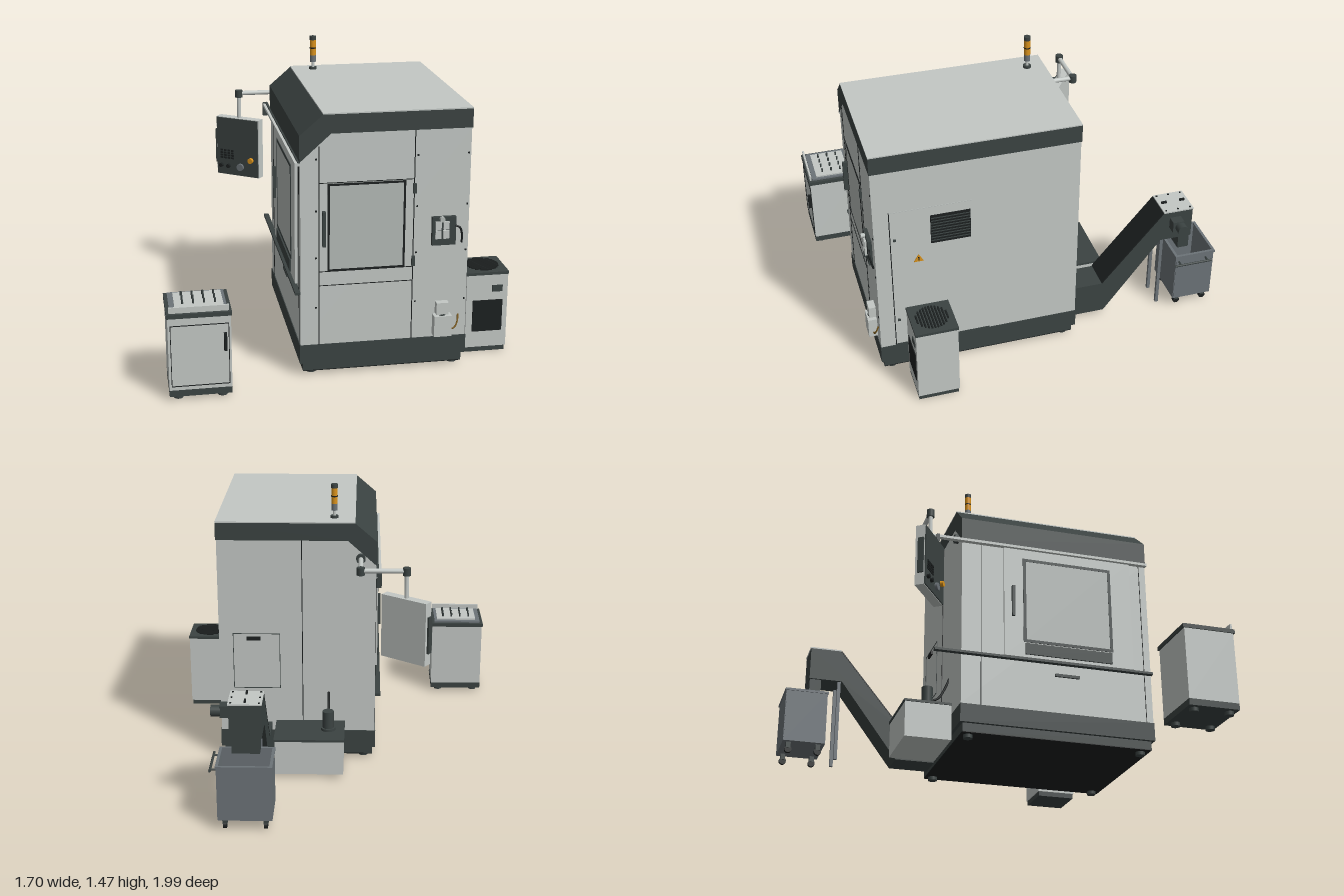
import * as THREE from 'three';

export function createModel() {
  const root = new THREE.Group();
  root.name = 'machiningCentre';
  const mat = (name, color) => {
    const m = new THREE.MeshStandardMaterial({ color });
    m.name = name;
    return m;
  };
  const light = mat('light panel grey', 0xc3c8c5), pane = mat('window grey', 0xb4bab7);
  const dark = mat('dark green grey', 0x3b4342), black = mat('near black', 0x1c2020);
  const steel = mat('bin steel', 0x6c7378), amber = mat('amber', 0xd9921c);
  const brass = mat('brass', 0x7d5c1e);

  const group = (name, parent = root) => {
    const g = new THREE.Group();
    g.name = name;
    parent.add(g);
    return g;
  };
  const add = (p, name, geo, m) => {
    const mesh = new THREE.Mesh(geo, m);
    mesh.name = name;
    p.add(mesh);
    return mesh;
  };
  // box given by its extents
  const box = (p, name, m, x0, x1, y0, y1, z0, z1) => {
    const mesh = add(p, name, new THREE.BoxGeometry(x1 - x0, y1 - y0, z1 - z0), m);
    mesh.position.set((x0 + x1) / 2, (y0 + y1) / 2, (z0 + z1) / 2);
    return mesh;
  };
  // round bar between two points
  const rod = (p, name, m, a, b, r, sides = 20) => {
    const A = new THREE.Vector3(...a), B = new THREE.Vector3(...b), d = B.clone().sub(A);
    const mesh = add(p, name, new THREE.CylinderGeometry(r, r, d.length(), sides), m);
    mesh.position.copy(A).add(B).multiplyScalar(0.5);
    mesh.quaternion.setFromUnitVectors(new THREE.Vector3(0, 1, 0), d.normalize());
    return mesh;
  };
  const hose = (p, name, m, pts, r) => {
    const curve = new THREE.CatmullRomCurve3(pts.map(q => new THREE.Vector3(...q)));
    return add(p, name, new THREE.TubeGeometry(curve, 24, r, 8), m);
  };
  const extrude = (p, name, m, pts, depth) => {
    const shape = new THREE.Shape(pts.map(q => new THREE.Vector2(...q)));
    return add(p, name, new THREE.ExtrudeGeometry(shape, { depth, bevelEnabled: false }), m);
  };
  // local sheet lying on a wall: x, y in the wall, z outwards
  const wall = (name, x, z, turn) => {
    const g = group(name);
    g.position.set(x, 0, z);
    g.rotation.y = turn;
    return g;
  };
  const seam = (p, x0, x1, y0, y1, w = 0.004, m = black) => {
    const h = w / 2;
    box(p, 'seam', m, x0 - h, x1 + h, y0 - h, y1 + h, -0.002, 0.003);
  };
  const outline = (p, x0, x1, y0, y1, w, m) => {
    for (const x of [x0, x1]) seam(p, x, x, y0, y1, w, m);
    for (const y of [y0, y1]) seam(p, x0, x1, y, y, w, m);
  };

  // enclosure
  const body = group('enclosure');
  extrude(body, 'cabin', light, [[-0.213, 0.16], [0.593, 0.16], [0.593, 1.2], [-0.07, 1.2], [-0.213, 1.07]], 1.02).position.z = -0.203;
  extrude(body, 'roofBand', dark, [[-0.217, 1.068], [-0.07, 1.2], [0.597, 1.2], [0.597, 1.29], [-0.107, 1.29], [-0.217, 1.195]], 1.026).position.z = -0.206;
  box(body, 'roof', light, -0.107, 0.597, 1.29, 1.296, -0.206, 0.82);
  box(body, 'base', dark, -0.217, 0.597, 0.065, 0.16, -0.206, 0.82);
  box(body, 'plinth', dark, -0.2, 0.58, 0.022, 0.065, -0.19, 0.805);
  box(body, 'underside', black, -0.2, 0.58, 0.018, 0.022, -0.19, 0.805);
  for (const x of [-0.155, 0.545]) for (const z of [-0.15, 0.76]) rod(body, 'foot', dark, [x, 0, z], [x, 0.02, z], 0.024);

  // front wall
  const front = wall('frontWall', 0, 0.817, 0);
  seam(front, -0.125, -0.125, 0.16, 1.14);
  seam(front, 0.325, 0.325, 0.16, 1.2);
  for (const y of [0.46, 0.53, 0.965]) seam(front, -0.125, 0.325, y, y, 0.003);
  box(front, 'frontWindow', pane, -0.08, 0.28, 0.535, 0.955, -0.002, 0.002);
  outline(front, -0.08, 0.28, 0.535, 0.955, 0.01);
  box(front, 'doorHandle', dark, -0.112, -0.096, 0.66, 0.83, 0, 0.025);
  for (const y of [0.56, 0.92]) box(front, 'hinge', dark, 0.318, 0.334, y - 0.024, y + 0.024, 0, 0.012);
  for (const y of [0.35, 0.6, 0.83, 1.08]) for (const x of [-0.14, 0.34, 0.582])
    box(front, 'screw', black, x - 0.004, x + 0.004, y - 0.004, y + 0.004, 0, 0.004);

  // hand control on the front wall
  box(front, 'handControl', dark, 0.412, 0.527, 0.635, 0.775, 0, 0.02);
  for (const x of [0.44, 0.478]) for (const y of [0.69, 0.735])
    box(front, 'controlKey', light, x - 0.014, x + 0.014, y - 0.02, y + 0.02, 0.02, 0.03);
  rod(front, 'controlKnob', pane, [0.457, 0.768, 0.02], [0.457, 0.768, 0.04], 0.012);
  hose(front, 'controlCable', black, [[0.52, 0.73, 0.015], [0.545, 0.72, 0.02], [0.558, 0.68, 0.015], [0.56, 0.64, 0.005]], 0.005);

  // lubricator
  box(front, 'lubricatorTank', light, 0.428, 0.515, 0.175, 0.28, 0, 0.045);
  box(front, 'lubricatorHead', light, 0.44, 0.5, 0.285, 0.345, 0, 0.035);
  rod(front, 'lubricatorNeck', dark, [0.47, 0.28, 0.02], [0.47, 0.287, 0.02], 0.018);
  hose(front, 'oilPipe', brass, [[0.515, 0.2, 0.02], [0.535, 0.21, 0.02], [0.55, 0.235, 0.012], [0.555, 0.27, 0]], 0.004);

  // +x wall, local x = -z
  const side = wall('ventWall', 0.593, 0, Math.PI / 2);
  seam(side, -0.74, -0.74, 0.165, 0.97);
  seam(side, -0.74, -0.34, 0.97, 0.97, 0.002, pane);
  box(side, 'vent', black, -0.542, -0.345, 0.758, 0.92, -0.002, 0.004);
  for (let i = 1; i < 10; i++) box(side, 'ventSlat', dark, -0.54, -0.347, 0.756 + i * 0.0162, 0.76 + i * 0.0162, 0.004, 0.007);
  extrude(side, 'warningSign', amber, [[-0.63, 0.663], [-0.582, 0.663], [-0.606, 0.704]], 0.005);
  box(side, 'warningMark', black, -0.609, -0.603, 0.671, 0.69, 0.005, 0.007);
  for (const y of [0.32, 0.81]) box(side, 'latch', dark, -0.725, -0.712, y - 0.006, y + 0.006, 0, 0.006);
  seam(side, -0.74, -0.26, 0.163, 0.163, 0.008, dark);

  // back wall, local x = -x
  const back = wall('backWall', 0, -0.203, Math.PI);
  seam(back, -0.163, -0.163, 0.16, 1.2);
  outline(back, -0.52, -0.28, 0.4, 0.7, 0.003, dark);
  box(back, 'hatchHandle', black, -0.45, -0.38, 0.665, 0.685, 0, 0.01);

  // -x wall with sliding door, local x = z
  const slide = wall('slidingDoorWall', -0.213, 0, -Math.PI / 2);
  box(slide, 'slidingDoor', light, 0.02, 0.72, 0.44, 1.05, 0, 0.012);
  const win = group('slidingWindow', slide);
  win.position.z = 0.012;
  box(win, 'windowPane', pane, 0.13, 0.6, 0.53, 0.99, 0, 0.002);
  outline(win, 0.13, 0.6, 0.53, 0.99, 0.016, dark);
  box(win, 'windowSill', dark, 0.13, 0.6, 0.455, 0.515, 0, 0.008);
  box(win, 'slideHandle', dark, 0.06, 0.075, 0.66, 0.83, 0, 0.015);
  box(slide, 'topRail', light, -0.345, 0.82, 1.052, 1.066, 0, 0.025);
  box(slide, 'topRailTrim', dark, -0.345, 0.82, 1.066, 1.072, 0, 0.012);
  box(slide, 'railBracket', dark, -0.345, -0.33, 1.0, 1.07, 0, 0.026);
  box(slide, 'bottomRail', dark, -0.345, 0.82, 0.42, 0.432, 0, 0.026);
  box(slide, 'lowerGrip', dark, 0.29, 0.42, 0.355, 0.37, 0, 0.01);
  for (const x of [-0.1, 0.78]) seam(slide, x, x, 0.16, 1.05, 0.003);

  // signal tower
  const tower = group('signalTower');
  for (const [y0, y1, r, m] of [[1.296, 1.308, 0.02, dark], [1.308, 1.335, 0.008, light], [1.335, 1.37, 0.016, steel],
    [1.37, 1.405, 0.016, amber], [1.405, 1.411, 0.017, black], [1.411, 1.45, 0.016, amber], [1.45, 1.47, 0.017, dark]])
    rod(tower, 'towerSegment', m, [0, y0, -0.115], [0, y1, -0.115], r, 24);

  // swing arm and control panel
  const arm = group('swingArm');
  rod(arm, 'armMount', dark, [-0.135, 1.11, -0.2], [-0.135, 1.11, -0.225], 0.024);
  rod(arm, 'armInner', light, [-0.135, 1.11, -0.22], [-0.135, 1.11, -0.41], 0.012);
  rod(arm, 'armOuter', light, [-0.135, 1.11, -0.41], [-0.36, 1.11, -0.41], 0.012);
  for (const x of [-0.135, -0.36]) rod(arm, 'armJoint', dark, [x, 1.088, -0.41], [x, 1.127, -0.41], 0.02);
  rod(arm, 'dropPole', light, [-0.36, 1.09, -0.41], [-0.36, 0.97, -0.41], 0.011);
  const panel = group('controlPanel');
  panel.position.set(-0.36, 0.81, -0.41);
  panel.rotation.y = -0.61;
  box(panel, 'panelCase', light, -0.13, 0.13, -0.163, 0.163, -0.025, 0.023);
  box(panel, 'panelFace', dark, -0.126, 0.126, -0.16, 0.16, 0.023, 0.029);
  box(panel, 'panelGrip', dark, -0.14, -0.13, -0.1, 0.09, -0.01, 0.02);
  for (let i = 0; i < 4; i++) for (let j = 0; j < 4; j++)
    box(panel, 'panelKey', black, -0.105 + i * 0.022, -0.089 + i * 0.022, -0.07 + j * 0.014, -0.06 + j * 0.014, 0.029, 0.033);
  rod(panel, 'emergencyStop', amber, [0.085, -0.065, 0.029], [0.085, -0.065, 0.045], 0.015);
  rod(panel, 'panelDial', steel, [0.02, -0.11, 0.029], [0.02, -0.11, 0.042], 0.02);
  for (const x of [-0.1, -0.055]) rod(panel, 'panelKnob', black, [x, -0.11, 0.029], [x, -0.11, 0.043], 0.011);

  // coolant tank with pump
  const tank = group('coolantTank');
  box(tank, 'tankBody', light, -0.052, 0.298, 0.022, 0.205, -0.445, -0.206);
  box(tank, 'tankLid', dark, -0.057, 0.303, 0.205, 0.217, -0.45, -0.206);
  rod(tank, 'pumpFlange', dark, [0.028, 0.217, -0.315], [0.028, 0.23, -0.315], 0.038);
  rod(tank, 'pump', dark, [0.028, 0.23, -0.315], [0.028, 0.32, -0.315], 0.029);
  hose(tank, 'pumpHose', black, [[0.028, 0.25, -0.29], [0.028, 0.27, -0.255], [0.028, 0.32, -0.225], [0.028, 0.38, -0.2]], 0.006);

  // chip conveyor, profile points are (-z, y)
  const conv = group('chipConveyor');
  const trough = extrude(conv, 'trough', dark, [[0.2, 0.025], [0.405, 0.025], [0.705, 0.425], [0.875, 0.425],
    [0.875, 0.595], [0.715, 0.595], [0.39, 0.205], [0.2, 0.205]], 0.155);
  trough.rotation.y = Math.PI / 2;
  trough.position.x = 0.325;
  const belt = add(conv, 'slopeCover', new THREE.BoxGeometry(0.157, 0.006, 0.505), black);
  belt.position.set(0.4025, 0.402, -0.5525);
  belt.rotation.x = Math.atan2(0.39, 0.325);
  box(conv, 'headCover', light, 0.322, 0.484, 0.594, 0.601, -0.878, -0.715);
  for (const x of [0.335, 0.47]) for (const z of [-0.73, -0.795, -0.862]) rod(conv, 'coverBolt', black, [x, 0.6, z], [x, 0.605, z], 0.005, 8);
  for (const z of [-0.745, -0.845]) box(conv, 'coverLug', black, 0.398, 0.407, 0.6, 0.612, z - 0.014, z + 0.014);
  box(conv, 'chute', dark, 0.335, 0.47, 0.345, 0.425, -0.872, -0.812);
  box(conv, 'gearbox', dark, 0.48, 0.53, 0.5, 0.56, -0.81, -0.75);
  rod(conv, 'motor', dark, [0.525, 0.53, -0.79], [0.572, 0.53, -0.79], 0.028);
  for (const x of [0.345, 0.465]) box(conv, 'conveyorLeg', steel, x - 0.008, x + 0.008, 0, 0.44, -0.725, -0.708);

  // chip bin on castors
  const bin = group('chipBin');
  const bx = [0.275, 0.53], bz = [-0.993, -0.785];
  box(bin, 'binFloor', steel, ...bx, 0.055, 0.065, ...bz);
  for (const x of bx) box(bin, 'binSide', steel, x - 0.003, x + 0.003, 0.055, 0.33, ...bz);
  for (const z of bz) box(bin, 'binEnd', steel, ...bx, 0.055, 0.33, z - 0.003, z + 0.003);
  for (const x of bx) box(bin, 'binRim', steel, x - 0.007, x + 0.007, 0.325, 0.337, -1, -0.778);
  for (const z of bz) box(bin, 'binRim', steel, 0.268, 0.537, 0.325, 0.337, z - 0.007, z + 0.007);
  for (const x of [0.305, 0.5]) for (const z of [-0.965, -0.815]) {
    rod(bin, 'castorWheel', black, [x - 0.009, 0.018, z], [x + 0.009, 0.018, z], 0.018);
    box(bin, 'castorFork', dark, x - 0.012, x + 0.012, 0.025, 0.056, z - 0.012, z + 0.012);
  }
  rod(bin, 'binHandle', dark, [0.565, 0.3, -0.97], [0.565, 0.3, -0.765], 0.006, 10);
  for (const z of [-0.95, -0.8]) rod(bin, 'handleStay', dark, [0.53, 0.3, z], [0.565, 0.3, z], 0.005, 10);

  // chiller
  const chill = group('chiller');
  box(chill, 'chillerBase', dark, 0.64, 0.84, 0, 0.025, 0.485, 0.685);
  box(chill, 'chillerBody', light, 0.635, 0.845, 0.025, 0.408, 0.48, 0.688);
  box(chill, 'chillerTop', dark, 0.632, 0.848, 0.408, 0.422, 0.477, 0.691);
  for (let i = -5; i <= 5; i++) {
    const z = 0.585 + i * 0.015, half = Math.sqrt(0.0064 - (i * 0.015) ** 2);
    box(chill, 'fanSlat', black, 0.74 - half, 0.74 + half, 0.422, 0.43, z - 0.004, z + 0.004);
  }
  box(chill, 'chillerGrille', black, 0.668, 0.82, 0.11, 0.275, 0.686, 0.692);
  box(chill, 'chillerDisplay', dark, 0.765, 0.818, 0.318, 0.352, 0.686, 0.692);
  for (const [z, y] of [[0.49, 0.38], [0.535, 0.35]])
    hose(chill, 'chillerHose', black, [[0.59, y, z], [0.605, y - 0.005, z], [0.625, y - 0.04, z + 0.015], [0.64, y - 0.06, z + 0.03]], 0.007);

  // tool cabinet
  const cab = group('toolCabinet');
  for (const x of [-0.805, -0.6]) for (const z of [0.755, 0.935]) rod(cab, 'cabinetFoot', dark, [x, 0, z], [x, 0.02, z], 0.022);
  box(cab, 'cabinetBase', dark, -0.847, -0.557, 0.018, 0.05, 0.715, 0.97);
  box(cab, 'cabinetBody', light, -0.847, -0.557, 0.05, 0.408, 0.715, 0.97);
  box(cab, 'cabinetTop', dark, -0.852, -0.552, 0.408, 0.428, 0.708, 0.977);
  box(cab, 'trayFrame', steel, -0.835, -0.57, 0.428, 0.437, 0.725, 0.955);
  box(cab, 'tray', light, -0.81, -0.585, 0.437, 0.445, 0.75, 0.93);
  for (let i = 0; i < 4; i++) for (let j = 0; j < 3; j++)
    rod(cab, 'toolSocket', dark, [-0.772 + i * 0.05, 0.445, 0.79 + j * 0.05], [-0.772 + i * 0.05, 0.465, 0.79 + j * 0.05], 0.005, 8);
  box(cab, 'trayBoard', light, -0.84, -0.565, 0.432, 0.46, 0.96, 0.97);
  const cabDoor = group('cabinetDoor', cab);
  cabDoor.position.z = 0.971;
  outline(cabDoor, -0.835, -0.568, 0.07, 0.37, 0.003);
  box(cabDoor, 'cabinetHandle', black, -0.592, -0.578, 0.24, 0.325, 0, 0.018);

  return root;
}
